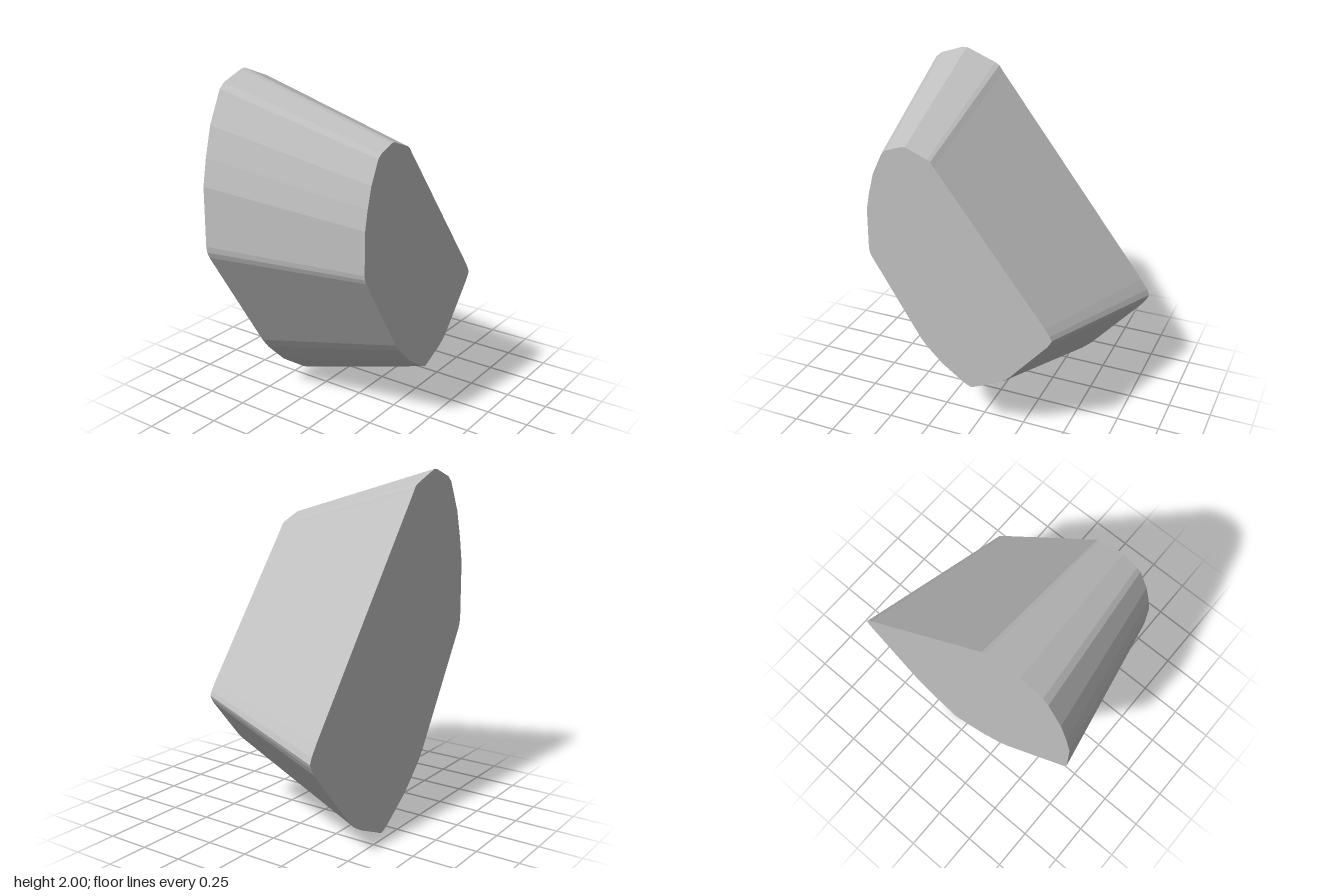
import * as THREE from 'three';

// Outline of the large back face, counter-clockwise from the lowest corner
const OUTLINE = [
  [0.10, 0], [0.165, 0.03], [0.30, 0.09], [0.37, 0.13], [0.43, 0.185],
  [0.74, 0.545], [0.765, 0.585], [0.775, 0.61], [0.76, 0.645], [0.72, 0.705],
  [-0.18, 1.88], [-0.205, 1.915], [-0.23, 1.93],
  [-0.41, 2.0], [-0.44, 1.997], [-0.575, 1.95], [-0.61, 1.92],
  [-0.695, 1.745], [-0.74, 1.58], [-0.77, 1.43],
  [-0.775, 1.095], [-0.77, 1.06], [-0.755, 1.025],
  [-0.35, 0.37], [-0.30, 0.305], [-0.16, 0.165], [0.025, 0.035], [0.065, 0.012],
];
const DEPTH = 0.91;
const TAPER = 0.7; // size of the front face relative to the back

export function createModel() {
  const grey = new THREE.MeshStandardMaterial({ color: 0xc0c0c0, flatShading: true });
  grey.name = 'stone grey';

  const shape = new THREE.Shape(OUTLINE.map(([x, y]) => new THREE.Vector2(x, y)));
  const geometry = new THREE.ExtrudeGeometry(shape, { depth: DEPTH, bevelEnabled: false });
  geometry.translate(0, 0, -DEPTH / 2);

  // Shrink the front face towards its own off-centre point
  const pos = geometry.attributes.position;
  for (let i = 0; i < pos.count; i++) {
    if (pos.getZ(i) > 0) {
      pos.setX(i, pos.getX(i) * TAPER - 0.058);
      pos.setY(i, pos.getY(i) * TAPER + 0.317);
    }
  }
  geometry.computeVertexNormals();

  const block = new THREE.Mesh(geometry, grey);
  block.name = 'taperedBlock';
  const group = new THREE.Group();
  group.name = 'taperedStone';
  group.add(block);
  return group;
}
